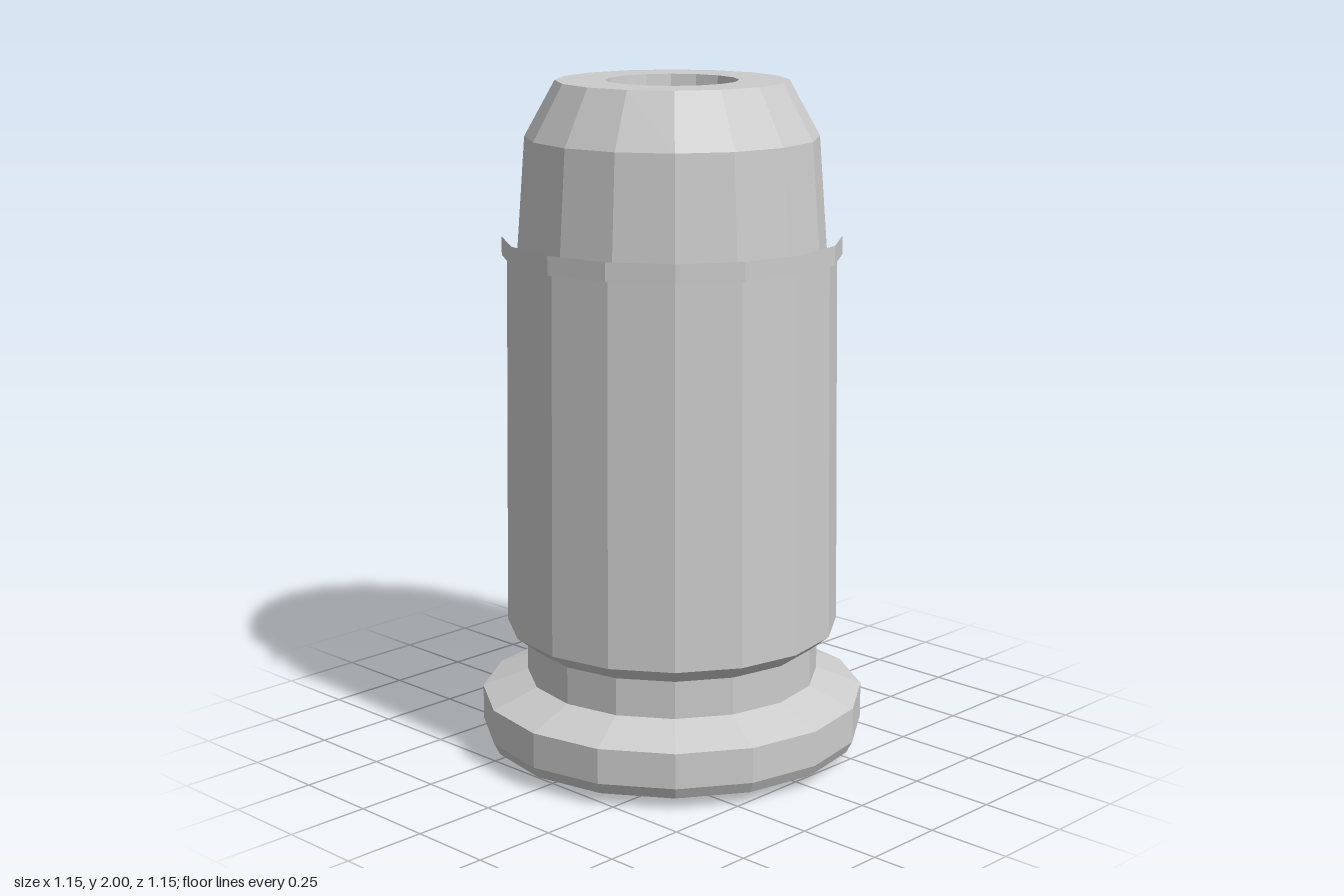
import * as THREE from 'three';

const SIDES = 16;

export function createModel() {
  const group = new THREE.Group();
  const metal = new THREE.MeshStandardMaterial({ color: 0xcccccc });
  metal.name = 'plain grey metal';

  // Faceted solid of revolution; profile runs from the bottom up the outside
  function turned(name, profile) {
    const points = profile.map(([r, y]) => new THREE.Vector2(r, y));
    const geometry = new THREE.LatheGeometry(points, SIDES).toNonIndexed();
    geometry.computeVertexNormals();
    const mesh = new THREE.Mesh(geometry, metal);
    mesh.name = name;
    group.add(mesh);
  }

  // Casing: base, rim, extractor groove, tapered wall and mouth
  turned('casing', [
    [0, 0.035], [0.555, 0.035], [0.573, 0.07], [0.573, 0.175],
    [0.437, 0.228], [0.437, 0.34], [0.495, 0.387],
    [0.48, 1.495], [0.44, 1.495],
  ]);

  // Open collar standing around the mouth
  turned('mouthBand', [[0.495, 1.495], [0.495, 1.55]]);

  // Slug with a tapered hollow in its nose
  turned('slug', [
    [0.452, 1.48], [0.425, 1.84], [0.336, 2],
    [0.192, 2], [0.155, 1.6], [0, 1.6],
  ]);

  // Primer cap and its surrounding lip
  turned('primer', [
    [0, 0], [0.145, 0], [0.18, 0.014], [0.195, 0.028],
    [0.205, 0.022], [0.245, 0.022], [0.245, 0.036],
  ]);

  // Radial marks on the base
  const markGeometry = new THREE.BoxGeometry(0.09, 0.004, 0.025);
  for (let i = 0; i < 8; i++) {
    const angle = (i * Math.PI) / 4;
    const mark = new THREE.Mesh(markGeometry, metal);
    mark.name = 'baseMark';
    mark.position.set(0.41 * Math.cos(angle), 0.034, 0.41 * Math.sin(angle));
    mark.rotation.y = -angle;
    group.add(mark);
  }

  return group;
}
